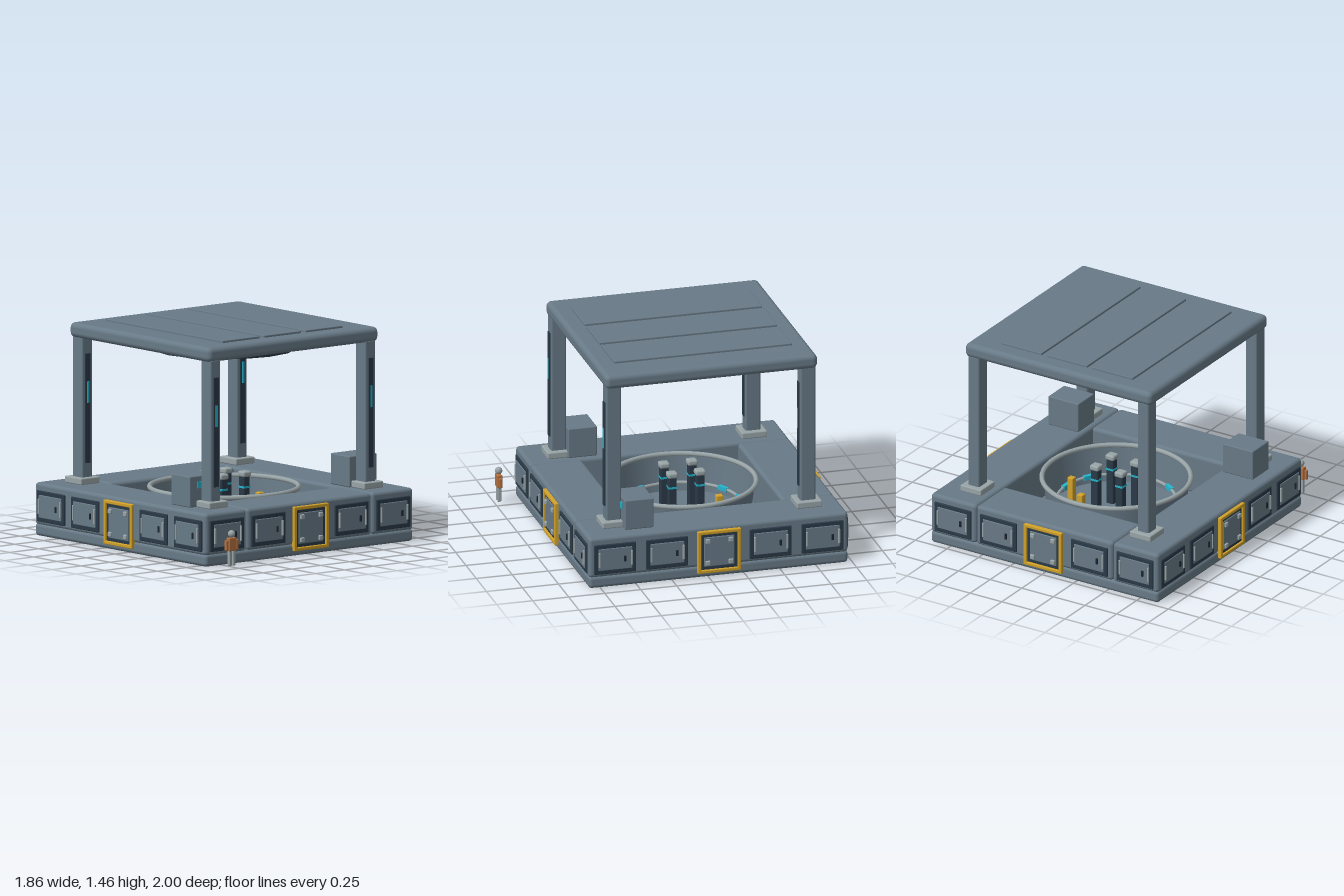
import * as THREE from 'three';
import { RoundedBoxGeometry } from 'three/addons/geometries/RoundedBoxGeometry.js';

const mat = (name, color, side = THREE.FrontSide) => {
  const m = new THREE.MeshStandardMaterial({ color, side });
  m.name = name;
  return m;
};

export function createModel() {
  const hull = mat('blue grey hull', 0x687a87);
  const liner = mat('blue grey liner', 0x687a87, THREE.DoubleSide);
  const dark = mat('dark navy', 0x2a3a47);
  const black = mat('near black', 0x1c242d);
  const steel = mat('pale steel', 0x98a4a7);
  const yellow = mat('hazard yellow', 0xd0a12a);
  const cyan = mat('cyan light', 0x25b4cc);
  const copper = mat('copper', 0xb4703f);

  // Main structure sits slightly behind the origin
  const model = new THREE.Group();
  model.name = 'servicePlatform';
  const body = new THREE.Group();
  body.name = 'platform';
  body.position.z = -0.07;
  model.add(body);

  const add = (parent, name, geo, m, x = 0, y = 0, z = 0) => {
    const mesh = new THREE.Mesh(geo, m);
    mesh.name = name;
    mesh.position.set(x, y, z);
    parent.add(mesh);
    return mesh;
  };
  const box = (parent, name, m, w, h, d, x, y, z, r = 0) => add(parent, name,
    r ? new RoundedBoxGeometry(w, h, d, 3, r) : new THREE.BoxGeometry(w, h, d), m, x, y, z);
  const ring = (parent, name, m, R, t, y) => {
    const mesh = add(parent, name, new THREE.TorusGeometry(R, t, 8, 56), m, 0, y, 0);
    mesh.rotation.x = Math.PI / 2;
  };

  // Base slab and the four deck blocks around the square opening
  box(body, 'baseSlab', hull, 1.8, 0.085, 1.8, 0, 0.0425, 0, 0.025);
  for (const s of [-1, 1]) {
    box(body, 'sideDeck', hull, 0.36, 0.285, 1.8, s * 0.72, 0.2175, 0, 0.025);
    box(body, 'endDeck', hull, 1.08, 0.285, 0.36, 0, 0.2175, s * 0.72, 0.025);
  }

  // One row of wall panels, repeated on all four sides
  for (let i = 0; i < 4; i++) {
    const side = new THREE.Group();
    side.name = 'wallPanels';
    side.rotation.y = i * Math.PI / 2;
    body.add(side);
    for (const x of [-0.72, -0.36, 0.36, 0.72]) {
      box(side, 'lockerFrame', dark, 0.29, 0.21, 0.02, x, 0.205, 0.901, 0.006);
      box(side, 'lockerDoor', hull, 0.235, 0.155, 0.012, x, 0.205, 0.91, 0.005);
      for (const s of [-1, 1])
        box(side, 'doorRail', steel, 0.013, 0.105, 0.015, x + s * 0.112, 0.205, 0.917, 0.004);
      box(side, 'doorHandle', black, 0.016, 0.042, 0.012, x + 0.067, 0.202, 0.918, 0.004);
    }
    // Central hatch with yellow surround
    box(side, 'hatchBacking', dark, 0.28, 0.28, 0.02, 0, 0.185, 0.9);
    box(side, 'hatchPlate', hull, 0.21, 0.21, 0.02, 0, 0.185, 0.907, 0.006);
    for (const s of [-1, 1]) {
      box(side, 'hatchFrame', yellow, 0.024, 0.3, 0.034, s * 0.138, 0.185, 0.907, 0.006);
      box(side, 'hatchFrame', yellow, 0.3, 0.024, 0.034, 0, 0.185 + s * 0.138, 0.907, 0.006);
      for (const t of [-1, 1])
        box(side, 'hatchBolt', steel, 0.034, 0.034, 0.02, s * 0.08, 0.185 + t * 0.078, 0.92, 0.007);
    }
  }

  // Round pit with rim, floor rail and lights
  add(body, 'pitWall', new THREE.CylinderGeometry(0.49, 0.46, 0.265, 48, 1, true), liner, 0, 0.2175, 0);
  ring(body, 'pitRim', steel, 0.498, 0.017, 0.35);
  add(body, 'pitFloor', new THREE.CylinderGeometry(0.46, 0.46, 0.02, 48), hull, 0, 0.09, 0);
  ring(body, 'innerRail', steel, 0.4, 0.012, 0.18);
  for (let i = 0; i < 12; i++) {
    const a = i / 12 * Math.PI * 2;
    const light = box(body, 'railLight', cyan, 0.028, 0.028, 0.08,
      Math.cos(a) * 0.4, 0.18, Math.sin(a) * 0.4);
    light.rotation.y = -a;
  }
  for (const [x, z] of [[0.335, -0.03], [0.14, -0.22]])
    box(body, 'valveBlock', yellow, 0.045, 0.18, 0.045, x, 0.185, z, 0.006);

  // Four central pylons
  for (const x of [-0.097, 0.097]) for (const z of [-0.097, 0.097]) {
    box(body, 'pylonStem', dark, 0.055, 0.34, 0.055, x, 0.26, z, 0.008);
    box(body, 'pylonLight', cyan, 0.058, 0.014, 0.058, x, 0.35, z);
    box(body, 'pylonCap', steel, 0.07, 0.04, 0.07, x, 0.437, z, 0.014);
  }

  // Roof posts with feet and front light strips
  for (const x of [-0.67, 0.67]) for (const z of [-0.675, 0.675]) {
    box(body, 'postFoot', steel, 0.165, 0.045, 0.175, x, 0.382, z, 0.008);
    box(body, 'post', hull, 0.09, 0.98, 0.105, x, 0.87, z, 0.012);
    box(body, 'postStrip', dark, 0.04, 0.74, 0.014, x, 0.87, z + 0.053);
    box(body, 'postLight', cyan, 0.017, 0.145, 0.009, x, 0.98, z + 0.059);
  }

  // Equipment crates on the deck
  for (const s of [-1, 1]) {
    box(body, 'crate', hull, 0.24, 0.21, 0.2, s * 0.69, 0.465, 0.525, 0.008);
    box(body, 'crateScreen', cyan, 0.12, 0.045, 0.009, s * 0.69, 0.51, 0.627);
  }

  // Roof, raised panels and the emitter hanging below it
  box(body, 'roof', hull, 1.475, 0.1, 1.475, 0, 1.395, 0, 0.035);
  for (const x of [-0.36, 0, 0.36])
    box(body, 'roofPanel', hull, 0.32, 0.024, 1.235, x, 1.448, 0, 0.005);
  add(body, 'emitterHousing', new THREE.CylinderGeometry(0.5, 0.48, 0.065, 16), dark, 0, 1.316, 0);
  add(body, 'emitterFace', new THREE.CylinderGeometry(0.4, 0.4, 0.008, 40), black, 0, 1.282, 0);
  ring(body, 'emitterRing', copper, 0.408, 0.012, 1.286);

  // Small standing figure in front of the platform
  const figure = new THREE.Group();
  figure.name = 'standingFigure';
  figure.position.set(-0.795, 0, 0.975);
  model.add(figure);
  add(figure, 'head', new THREE.SphereGeometry(0.025, 16, 12), steel, 0, 0.235, 0);
  box(figure, 'torso', copper, 0.064, 0.09, 0.036, 0, 0.165, 0, 0.006);
  for (const s of [-1, 1]) {
    box(figure, 'arm', copper, 0.02, 0.068, 0.024, s * 0.044, 0.16, 0, 0.005);
    box(figure, 'leg', steel, 0.022, 0.105, 0.024, s * 0.016, 0.072, 0, 0.005);
  }
  return model;
}
